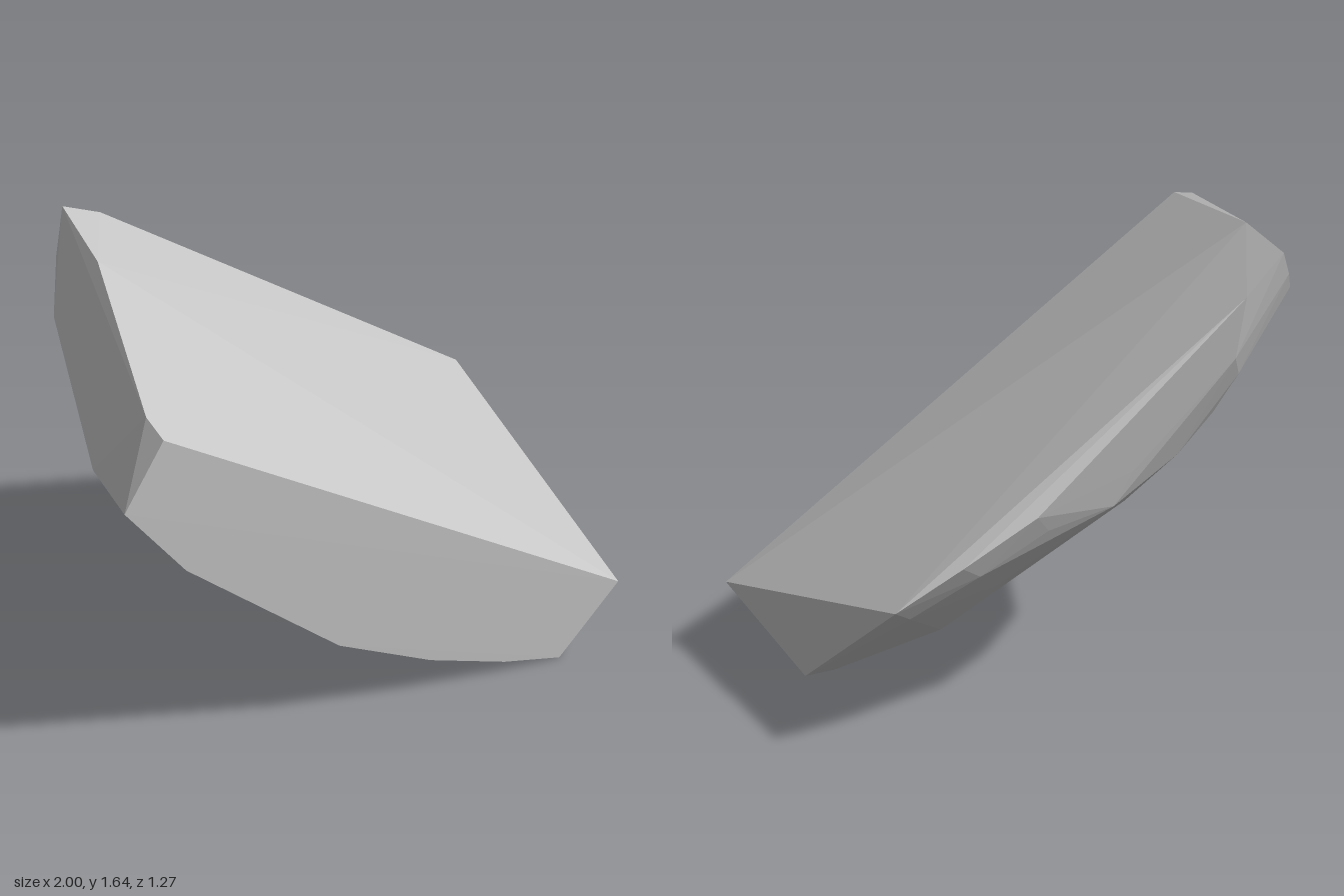
import * as THREE from 'three';
import { ConvexGeometry } from 'three/addons/geometries/ConvexGeometry.js';

// Faceted rock shard: flat broken top and front, rounded underside.
export function createModel() {
  const group = new THREE.Group();
  group.name = 'rockShard';
  const stone = new THREE.MeshStandardMaterial({ color: 0xc6c6c6 });
  stone.name = 'light grey stone';

  // Nearly flat front face
  const front = [
    [-1, 1.12, 0.628], [-0.84, 1.385, 0.625], [1, 0.25, 0.632], [0.76, 0, 0.634],
    [0.54, 0.045, 0.633], [0.24, 0.14, 0.632], [-0.13, 0.31, 0.631], [-0.75, 0.81, 0.629],
  ];

  // Rim of the split top, running round the back
  const rim = [
    [-0.85, 1.423, 0.51], [-0.66, 1.62, -0.22], [-0.615, 1.643, -0.575],
    [-0.43, 1.53, -0.634], [0.43, 0.85, -0.634], [0.72, 0.7, -0.605],
    [0.96, 0.55, -0.535], [0.99, 0.09, 0.07],
  ];

  // Blunt left end
  const end = [
    [-0.975, 1.14, 0.34], [-0.79, 1.375, -0.31],
    [-0.69, 1.51, -0.48], [-0.8, 1.255, -0.2],
  ];

  // Rounded underside, from the front towards the back
  const underside = [
    [0.61, 0.03, 0.37], [0.216, 0.19, 0.3], [-0.17, 0.36, 0.38], [-0.734, 0.8, 0.42],
    [0.84, 0.065, 0.12], [0.345, 0.235, 0.1], [0.01, 0.355, 0.1], [-0.45, 0.655, 0.1],
    [-0.72, 0.98, 0.1], [0.73, 0.175, -0.02], [0.584, 0.287, -0.2], [0.422, 0.426, -0.27],
    [-0.17, 0.63, -0.2], [-0.535, 0.9, -0.2], [0.745, 0.43, -0.39], [0.477, 0.52, -0.42],
    [0.88, 0.5, -0.5], [-0.25, 0.89, -0.45], [-0.5, 1.15, -0.45],
    [0.63, 0.64, -0.57], [0.36, 0.77, -0.59], [0.07, 0.79, -0.55],
    [0, 0.92, -0.57], [-0.42, 1.27, -0.57],
  ];

  const points = [...front, ...rim, ...end, ...underside].map((p) => new THREE.Vector3(...p));
  const rock = new THREE.Mesh(new ConvexGeometry(points), stone);
  rock.name = 'rock';
  group.add(rock);
  return group;
}
